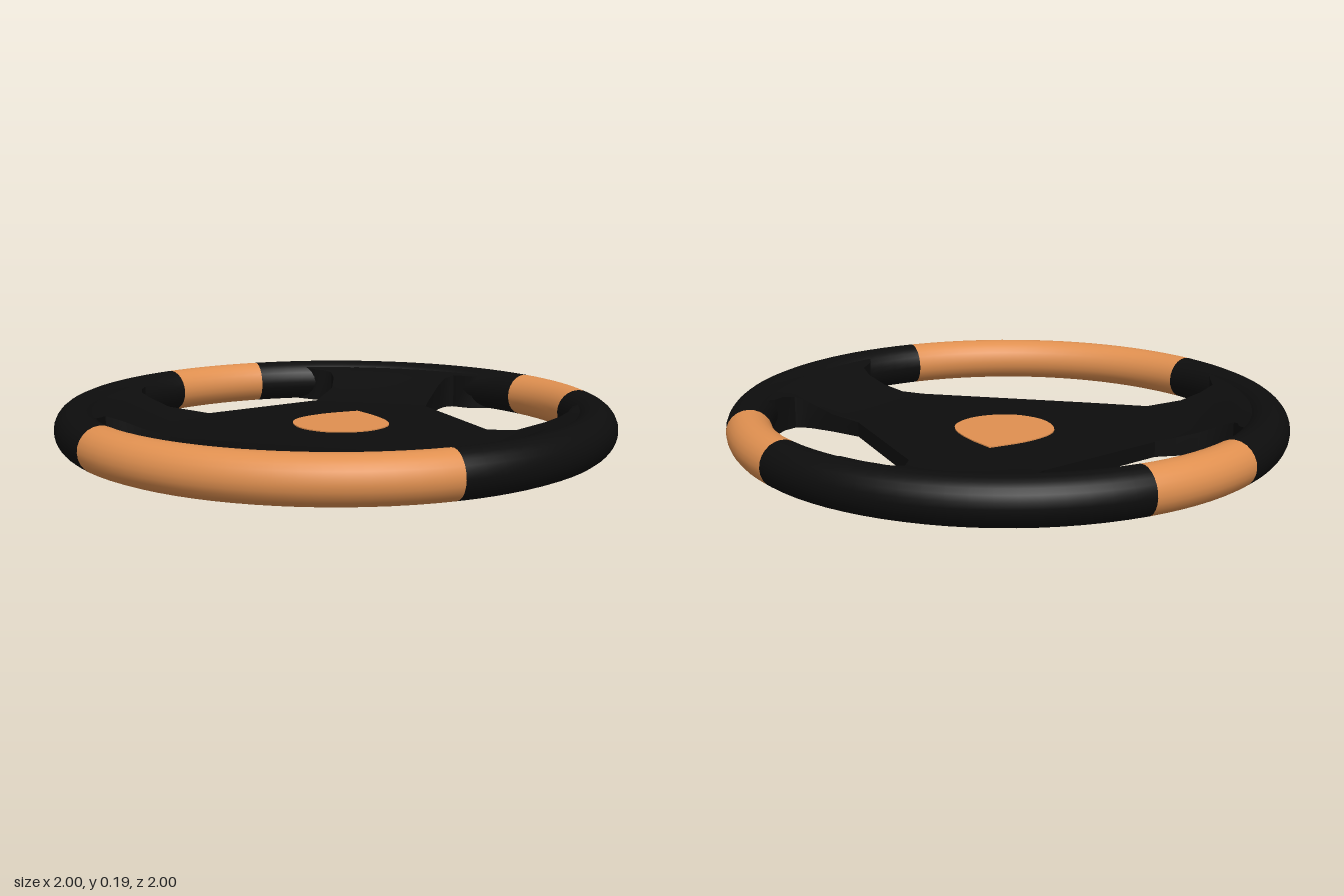
import * as THREE from 'three';
import { toCreasedNormals } from 'three/addons/utils/BufferGeometryUtils.js';

const black = new THREE.MeshStandardMaterial({ color: 0x0d0d0d });
const tan = new THREE.MeshStandardMaterial({ color: 0xe09050 });

// Skin a list of closed cross-sections (arrays of [x, y, z])
function loft(sections) {
  const n = sections[0].length, index = [];
  for (let i = 0; i < sections.length - 1; i++) {
    for (let j = 0; j < n; j++) {
      const k = (j + 1) % n, a = i * n, b = a + n;
      index.push(a + j, a + k, b + j, a + k, b + k, b + j);
    }
  }
  const geo = new THREE.BufferGeometry();
  geo.setAttribute('position', new THREE.Float32BufferAttribute(sections.flat(2), 3));
  geo.setIndex(index);
  return toCreasedNormals(geo, 0.7);
}

// Spoke between two edge lines [x, z]; it bows out and thickens towards the rim
function spokeGeometry(edgeA, edgeB) {
  const cols = 12, last = edgeA.length - 1;
  const { lerp, smoothstep } = THREE.MathUtils;
  return loft(edgeA.map(([ax, az], i) => {
    const [bx, bz] = edgeB[i], w = i / last;
    const top = [], bottom = [];
    for (let j = 0; j <= cols; j++) {
      const t = j / cols;
      const angle = lerp(Math.atan2(az, ax), Math.atan2(bz, bx), t);
      const radius = lerp(Math.hypot(ax, az), Math.hypot(bx, bz), t);
      const x = lerp(lerp(ax, bx, t), radius * Math.cos(angle), w);
      const z = lerp(lerp(az, bz, t), radius * Math.sin(angle), w);
      const r = Math.hypot(x, z);
      top.push([x, 0.08 + 0.1 * smoothstep(r, 0.57, 0.93), z]);
      bottom.unshift([x, 0.025 + 0.008 * smoothstep(r, 0.57, 0.9), z]);
    }
    return [...top, ...bottom];
  }));
}

export function createModel() {
  const group = new THREE.Group();
  const add = (name, geometry, material) => {
    const mesh = new THREE.Mesh(geometry, material);
    mesh.name = name;
    group.add(mesh);
  };

  // Rim: alternating tan and black grips, angles in degrees from +x towards +z
  const stops = [0, 25, 102.5, 180, 257.3, 282.7, 360];
  for (let i = 0; i < 6; i++) {
    const start = THREE.MathUtils.degToRad(stops[i]);
    const arc = THREE.MathUtils.degToRad(stops[i + 1]) - start;
    const geo = new THREE.TorusGeometry(0.92, 0.08, 24, Math.ceil(arc * 14), arc);
    geo.rotateX(Math.PI / 2).rotateY(-start).translate(0, 0.11, 0);
    add(i % 2 ? 'rimGrip' : 'rimAccent', geo, i % 2 ? black : tan);
  }

  // Hub plate with a chamfered underside
  const outline = [[-0.25, -0.5], [0.25, -0.5], [0.53, -0.14], [0.42, 0.35], [0, 0.54], [-0.42, 0.03]];
  const rings = [[0, 0.08], [1, 0.08], [1, 0.025], [0.85, 0], [0, 0]];
  add('hub', loft(rings.map(([s, y]) => outline.map(([x, z]) => [x * s, y, z * s]))), black);

  // Spokes
  const backEdge = [[-0.25, -0.5], [-0.38, -0.58], [-0.43, -0.64], [-0.445, -0.68], [-0.43, -0.71], [-0.4, -0.74], [-0.35, -0.85]];
  const mirrored = backEdge.map(([x, z]) => [-x, z]);
  const rightEdge = [[-0.42, 0.03], [-0.56, -0.15], [-0.65, -0.24], [-0.71, -0.28], [-0.77, -0.29], [-0.81, -0.24], [-0.88, -0.17]];
  const leftEdge = [[0.53, -0.14], [0.58, -0.19], [0.7, -0.27], [0.75, -0.29], [0.79, -0.28], [0.82, -0.2], [0.9, -0.15]];
  const frontLeft = [[0.42, 0.35], [0.46, 0.46], [0.51, 0.55], [0.55, 0.58], [0.6, 0.57], [0.66, 0.53], [0.76, 0.52]];
  const frontRight = [[0, 0.54], [0.05, 0.61], [0.09, 0.68], [0.115, 0.75], [0.11, 0.8], [0.06, 0.83], [0, 0.92]];
  add('backRightSpoke', spokeGeometry(rightEdge, backEdge), black);
  add('backLeftSpoke', spokeGeometry(mirrored, leftEdge), black);
  add('frontSpoke', spokeGeometry(frontLeft, frontRight), black);

  // Drop-shaped centre pad
  const drop = [[0.24, -0.2], [0.1, -0.225], [-0.02, -0.21], [-0.09, -0.15], [-0.12, -0.05], [-0.09, 0.05],
    [-0.02, 0.11], [0.07, 0.13], [0.16, 0.1], [0.21, 0.03], [0.235, -0.08]].map(p => new THREE.Vector2(...p));
  const curve = new THREE.SplineCurve([...drop, drop[0]]);
  const pad = new THREE.ExtrudeGeometry(new THREE.Shape(curve.getPoints(50)), { depth: 0.01, bevelEnabled: false });
  pad.rotateX(Math.PI / 2).translate(0, 0.084, 0);
  add('centrePad', pad, tan);

  return group;
}
